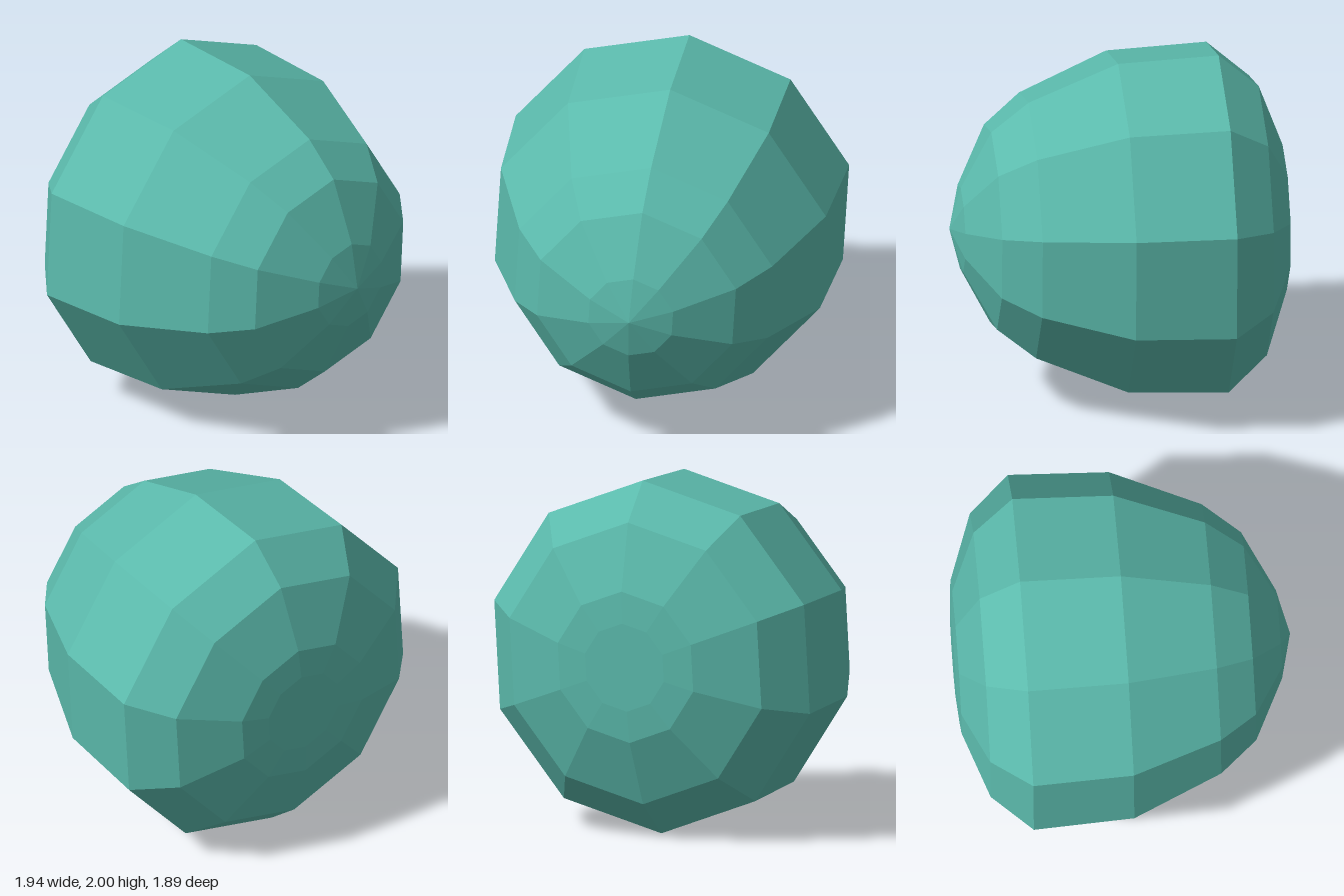
import * as THREE from 'three';

export function createModel() {
  const group = new THREE.Group();
  const teal = new THREE.MeshStandardMaterial({ color: 0x5bbaac });
  teal.name = 'teal';
  teal.flatShading = true;

  // Profile as [radius, z], from the blunt back to the pointed front
  const profile = [
    [0, -0.947], [0.25, -0.947], [0.43, -0.932], [0.8, -0.795], [1.002, -0.567],
    [0.977, 0], [0.76, 0.505], [0.587, 0.714], [0.25, 0.884], [0, 0.947],
  ].map(([r, z]) => new THREE.Vector2(r, z));

  // Ten-sided faceted shell, turned so its axis runs front to back with a slight roll
  const roll = THREE.MathUtils.degToRad(-3.3);
  const geometry = new THREE.LatheGeometry(profile, 10, roll, Math.PI * 2);
  geometry.rotateX(Math.PI / 2);
  const flat = geometry.toNonIndexed();
  flat.computeVertexNormals();

  const shell = new THREE.Mesh(flat, teal);
  shell.name = 'facetedShell';
  shell.position.y = 1;
  group.add(shell);
  return group;
}
